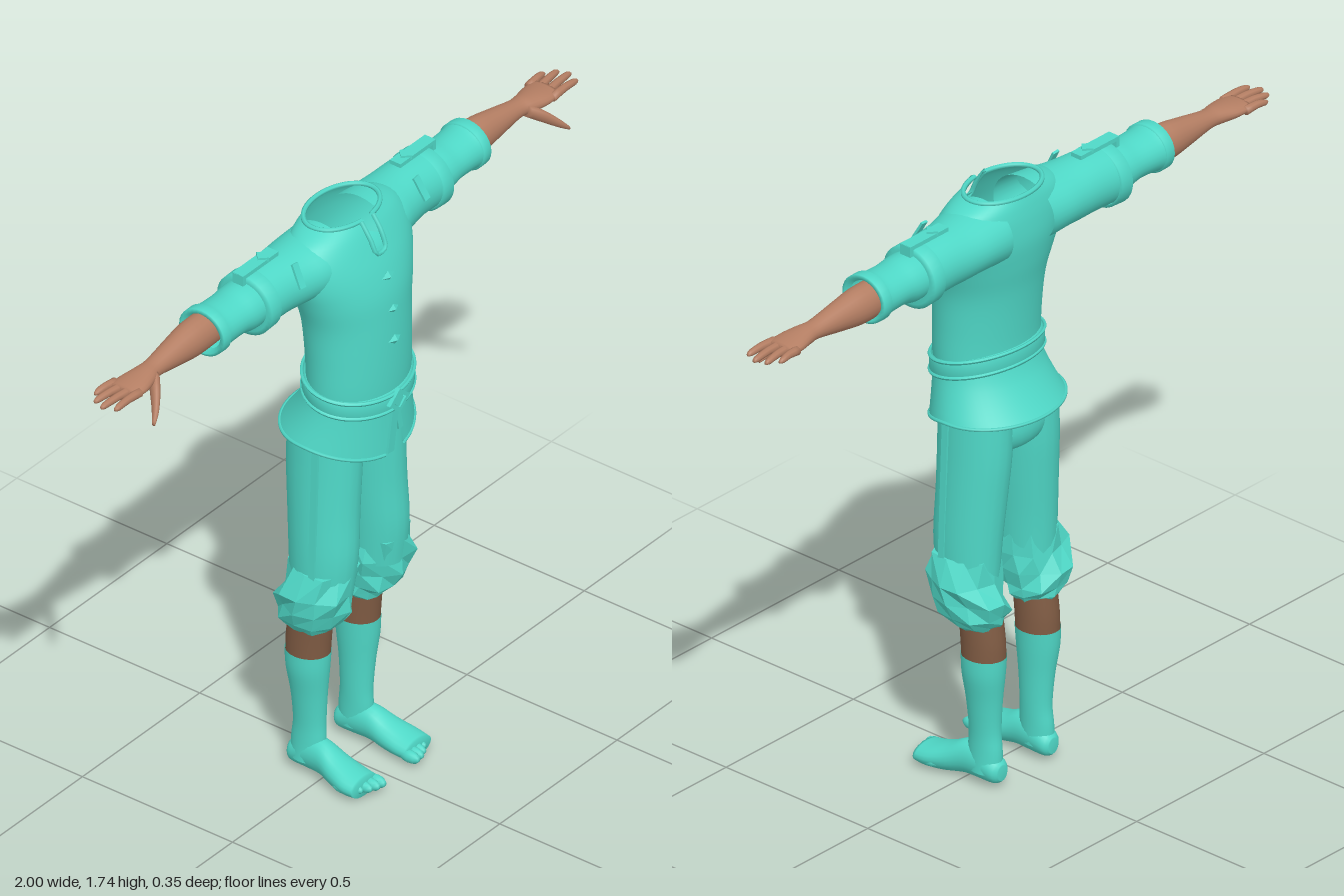
import * as THREE from 'three';

const mat = (name, color) => {
  const m = new THREE.MeshStandardMaterial({ color, side: THREE.DoubleSide });
  m.name = name;
  return m;
};

// Surface over a grid of points; u runs around, v runs along
function grid(fn, nu, nv, closed = true, skip = null) {
  const pos = [], index = [], w = closed ? nu : nu + 1;
  for (let j = 0; j <= nv; j++)
    for (let i = 0; i < w; i++) pos.push(...fn(i / nu, j / nv));
  for (let j = 0; j < nv; j++)
    for (let i = 0; i < nu; i++) {
      if (skip && skip(...fn((i + 0.5) / nu, (j + 0.5) / nv))) continue;
      const a = j * w + i, b = j * w + (i + 1) % w;
      index.push(a, a + w, b + w, a, b + w, b);
    }
  const g = new THREE.BufferGeometry();
  g.setAttribute('position', new THREE.Float32BufferAttribute(pos, 3));
  g.setIndex(index);
  g.computeVertexNormals();
  return g;
}

// Smooth interpolation through rows of numbers
function sample(rows, v) {
  const f = v * (rows.length - 1), k = Math.min(Math.floor(f), rows.length - 2), t = f - k;
  const at = (i) => rows[Math.max(0, Math.min(rows.length - 1, i))];
  return rows[0].map((_, c) => {
    const p0 = at(k - 1)[c], p1 = at(k)[c], p2 = at(k + 1)[c], p3 = at(k + 2)[c];
    return p1 + 0.5 * t * (p2 - p0 + t * (2 * p0 - 5 * p1 + 4 * p2 - p3 + t * (3 * (p1 - p2) + p3 - p0)));
  });
}

// Elliptical loft. Rows: [position on axis, centre a, centre b, radius a, radius b]
function loft(axis, rows, { seg = 24, steps = 4, cap = false, bump = null, skip = null } = {}) {
  const n = (rows.length - 1) * steps, total = cap ? n + 2 : n;
  const point = (u, v) => {
    let j = v * total, k = 1;
    if (cap) {
      if (j < 0.5 || j > total - 0.5) k = 0;
      j = Math.max(0, Math.min(n, j - 1));
    }
    const [t, a, b, ra, rb] = sample(rows, j / n);
    const th = u * Math.PI * 2;
    if (bump) k *= bump(th, j);
    const c = Math.cos(th) * k, s = Math.sin(th) * k;
    if (axis === 'y') return [a + ra * c, t, b + rb * s];
    if (axis === 'x') return [t, a + ra * s, b + rb * c];
    return [a + ra * s, b + rb * c, t];
  };
  return grid(point, seg, total, true, skip);
}

function faceted(geo) {
  const g = geo.toNonIndexed();
  g.computeVertexNormals();
  return g;
}

function mirrored(geo) {
  const g = geo.clone().scale(-1, 1, 1);
  const src = g.index ? Array.from(g.index.array) : [...Array(g.attributes.position.count).keys()];
  for (let i = 0; i < src.length; i += 3) [src[i + 1], src[i + 2]] = [src[i + 2], src[i + 1]];
  g.setIndex(src);
  return g;
}

const box = (w, h, d, x, y, z, rz = 0, rx = 0) =>
  new THREE.BoxGeometry(w, h, d).rotateZ(rz).rotateX(rx).translate(x, y, z);
const tube = (pts, r, closed = false) => new THREE.TubeGeometry(
  new THREE.CatmullRomCurve3(pts.map((p) => new THREE.Vector3(...p)), closed), closed ? 48 : 16, r, 6, closed);

export function createModel() {
  const model = new THREE.Group();
  model.name = 'clothedFigure';
  const cloth = mat('turquoiseCloth', 0x4fd8c7);
  const skin = mat('skin', 0xb47e63);
  const legSkin = mat('legSkin', 0x7f5b43);
  const add = (name, geo, m = cloth) => {
    const mesh = new THREE.Mesh(geo, m);
    mesh.name = name;
    model.add(mesh);
  };
  const pair = (name, geo, m) => {
    add('left' + name, geo, m);
    add('right' + name, mirrored(geo), m);
  };

  // Tunic body, with the neck slit left open
  add('tunicBody', loft('y', [
    [1.16, 0, 0.022, 0.163, 0.122], [1.25, 0, 0.03, 0.167, 0.12], [1.35, 0, 0.028, 0.168, 0.123],
    [1.45, 0, 0.021, 0.174, 0.127], [1.53, 0, 0.01, 0.196, 0.131], [1.6, 0, -0.004, 0.22, 0.126],
    [1.66, 0, -0.015, 0.225, 0.112], [1.705, 0, -0.022, 0.19, 0.097], [1.735, 0, -0.027, 0.125, 0.083],
  ], { seg: 64, steps: 5, skip: (x, y, z) => z > 0 && Math.abs(x) < 0.016 && y > 1.66 }));

  // Neck trim and slit edging
  const neck = [];
  for (let i = 0; i < 24; i++) {
    const a = Math.PI / 2 + 0.16 + (i / 23) * (Math.PI * 2 - 0.32);
    neck.push([0.125 * Math.cos(a), 1.735, -0.027 + 0.083 * Math.sin(a)]);
  }
  add('neckTrim', new THREE.TubeGeometry(
    new THREE.CatmullRomCurve3(neck.map((p) => new THREE.Vector3(...p))), 60, 0.007, 6));
  add('neckSlitTrim', tube([[-0.025, 1.735, 0.057], [-0.024, 1.69, 0.088], [-0.018, 1.65, 0.104],
    [0.018, 1.65, 0.104], [0.024, 1.69, 0.088], [0.025, 1.735, 0.057]], 0.007));

  // Toggles down the chest
  [[1.58, 0.127], [1.485, 0.143], [1.39, 0.149]].forEach(([y, z], i) =>
    add('toggle' + (i + 1), faceted(new THREE.OctahedronGeometry(1)).scale(0.026, 0.016, 0.012).translate(0, y, z)));

  // Flared skirt of the tunic, split at the front
  const skirt = (u, v) => {
    const gap = 0.2 * (1 - v), a = Math.PI / 2 + gap + u * (Math.PI * 2 - 2 * gap);
    const y0 = 1.092 - 0.05 * Math.max(0, Math.sin(a)) ** 1.5;
    const k = (1 - v) ** 1.3;
    return [(0.163 + 0.037 * k) * Math.cos(a), y0 + (1.22 - y0) * v,
      0.028 - 0.037 * k + (0.122 + 0.04 * k) * Math.sin(a)];
  };
  add('tunicSkirt', grid(skirt, 56, 6, false));
  const hem = Array.from({ length: 33 }, (_, i) => new THREE.Vector3(...skirt(i / 32, 0)));
  add('skirtHem', new THREE.TubeGeometry(new THREE.CatmullRomCurve3(hem), 64, 0.005, 5));

  // Tilted belt with raised edges
  const tilt = (g) => {
    const p = g.attributes.position;
    for (let i = 0; i < p.count; i++) p.setY(i, p.getY(i) - 0.2 * (p.getZ(i) - 0.03));
    g.computeVertexNormals();
    return g;
  };
  add('belt', tilt(loft('y', [[1.202, 0, 0.028, 0.16, 0.12], [1.204, 0, 0.028, 0.175, 0.132],
    [1.252, 0, 0.028, 0.174, 0.131], [1.256, 0, 0.028, 0.16, 0.12]], { seg: 48, steps: 1 })));
  for (const y of [1.206, 1.252])
    add('beltEdge', tilt(new THREE.TorusGeometry(1, 0.03, 6, 48).rotateX(Math.PI / 2)
      .scale(0.174, 0.2, 0.131).translate(0, y, 0.028)));

  // Diamond buckle and hanging belt ends
  const diamond = new THREE.Shape([[0.043, 0], [0, 0.037], [-0.043, 0], [0, -0.037]].map((p) => new THREE.Vector2(...p)));
  diamond.holes.push(new THREE.Path([[0.026, 0], [0, -0.022], [-0.026, 0], [0, 0.022]].map((p) => new THREE.Vector2(...p))));
  add('beltBuckle', new THREE.ExtrudeGeometry(diamond, { depth: 0.012, bevelEnabled: false }).translate(0, 1.203, 0.156));
  add('beltKnot', box(0.03, 0.03, 0.012, 0, 1.203, 0.158, Math.PI / 4));
  add('rightBeltEnd', box(0.026, 0.14, 0.007, -0.014, 1.115, 0.154, -0.12, 0.03));
  add('leftBeltEnd', box(0.018, 0.09, 0.007, 0.012, 1.145, 0.152, 0.2));

  // Sleeves: wide upper part, folded cuff, narrower lower part
  pair('UpperSleeve', loft('x', [[0.08, 1.632, -0.03, 0.092, 0.108], [0.16, 1.632, -0.034, 0.084, 0.104],
    [0.22, 1.63, -0.04, 0.083, 0.094], [0.29, 1.63, -0.045, 0.083, 0.086], [0.38, 1.626, -0.046, 0.083, 0.086]], { seg: 32 }));
  pair('SleeveCuff', loft('x', [[0.345, 1.624, -0.047, 0.08, 0.084], [0.347, 1.624, -0.047, 0.088, 0.092],
    [0.388, 1.622, -0.047, 0.089, 0.092], [0.392, 1.622, -0.047, 0.076, 0.08], [0.393, 1.625, -0.046, 0.05, 0.05]], { seg: 32, steps: 1 }));
  pair('LowerSleeve', loft('x', [[0.34, 1.63, -0.046, 0.064, 0.074], [0.41, 1.628, -0.046, 0.066, 0.074],
    [0.46, 1.63, -0.047, 0.058, 0.07], [0.52, 1.63, -0.048, 0.06, 0.071], [0.545, 1.63, -0.048, 0.066, 0.073]], { seg: 28 }));
  pair('SleeveEnd', loft('x', [[0.538, 1.63, -0.048, 0.062, 0.068], [0.54, 1.63, -0.048, 0.069, 0.076],
    [0.57, 1.63, -0.048, 0.069, 0.075], [0.574, 1.63, -0.048, 0.06, 0.066], [0.56, 1.63, -0.048, 0.05, 0.055]], { seg: 28, steps: 1 }));

  // Shoulder straps with small buckles
  pair('ShoulderStrap', box(0.15, 0.012, 0.036, 0.335, 1.722, -0.052));
  pair('StrapBuckle', box(0.03, 0.012, 0.03, 0.305, 1.728, -0.052).translate(-0.305, 0, 0.052).rotateY(Math.PI / 4).translate(0.305, 0, -0.052));
  pair('StrapEnd', box(0.012, 0.03, 0.036, 0.405, 1.712, -0.052));
  pair('StrapTab', box(0.022, 0.07, 0.007, 0.262, 1.68, 0.034, 0.1, -0.5));

  // Forearms, hands, fingers and thumbs
  pair('Forearm', loft('x', [[0.5, 1.63, -0.055, 0.05, 0.045], [0.6, 1.628, -0.056, 0.053, 0.046],
    [0.68, 1.626, -0.055, 0.042, 0.038], [0.77, 1.624, -0.053, 0.026, 0.029], [0.81, 1.622, -0.05, 0.025, 0.036],
    [0.86, 1.62, -0.05, 0.021, 0.047], [0.905, 1.62, -0.052, 0.014, 0.046]], { seg: 20, cap: true }), skin);
  [[-0.093, 0.958, -0.1], [-0.066, 0.988, -0.077], [-0.038, 1, -0.046], [-0.013, 0.985, -0.012]].forEach(([z, x1, z1], i) =>
    pair('Finger' + (i + 1), loft('x', [[0.88, 1.62, z, 0.013, 0.013], [(0.88 + x1) / 2, 1.624, (z + z1) / 2, 0.011, 0.011],
      [x1 - 0.012, 1.621, z1, 0.009, 0.009], [x1, 1.619, z1, 0.004, 0.004]], { seg: 8, steps: 2, cap: true }), skin));
  pair('Thumb', loft('x', [[0.79, 1.618, -0.035, 0.02, 0.02], [0.825, 1.595, -0.004, 0.021, 0.018],
    [0.86, 1.565, 0.024, 0.014, 0.012], [0.885, 1.543, 0.038, 0.006, 0.006]], { seg: 10, cap: true }), skin);

  // Trousers: hips, legs and faceted gathers at the knee
  add('trouserHips', loft('y', [[0.975, 0, -0.02, 0.09, 0.07], [1.0, 0, -0.018, 0.14, 0.1],
    [1.06, 0, -0.012, 0.172, 0.115], [1.18, 0, 0.015, 0.16, 0.115]], { seg: 32, cap: true }));
  pair('TrouserLeg', loft('y', [[0.6, 0.112, -0.005, 0.075, 0.09], [0.72, 0.108, -0.002, 0.08, 0.1],
    [0.85, 0.1, -0.008, 0.083, 0.104], [0.97, 0.093, -0.012, 0.084, 0.11], [1.1, 0.087, -0.012, 0.084, 0.113]], { seg: 20 }));
  pair('SideSeam', box(0.008, 0.4, 0.02, 0.18, 0.87, 0.02, 0.04));
  const puff = (th, j) => 1 + 0.09 * Math.sin(4 * th + j * 2.4) + 0.04 * Math.sin(th * 3 + j * 4);
  pair('KneeGather', faceted(loft('y', [[0.465, 0.106, -0.04, 0.05, 0.055], [0.49, 0.113, -0.04, 0.072, 0.075],
    [0.515, 0.12, -0.03, 0.086, 0.098], [0.56, 0.125, -0.022, 0.09, 0.108], [0.61, 0.127, -0.006, 0.1, 0.096],
    [0.68, 0.113, 0, 0.08, 0.094]], { seg: 11, steps: 1, bump: puff, cap: true })));

  // Bare lower knees
  pair('Knee', loft('y', [[0.375, 0.106, -0.056, 0.055, 0.063], [0.43, 0.106, -0.053, 0.055, 0.064],
    [0.5, 0.106, -0.045, 0.055, 0.062]], { seg: 24 }), legSkin);

  // Stockings and feet
  pair('Stocking', loft('y', [[0.04, 0.103, -0.06, 0.038, 0.05], [0.1, 0.101, -0.057, 0.036, 0.052],
    [0.16, 0.1, -0.055, 0.037, 0.048], [0.25, 0.103, -0.055, 0.044, 0.053], [0.33, 0.107, -0.056, 0.054, 0.062],
    [0.385, 0.106, -0.056, 0.057, 0.065]], { seg: 24 }));
  pair('Foot', loft('z', [[-0.117, 0.1, 0.045, 0.018, 0.022], [-0.1, 0.101, 0.048, 0.034, 0.036],
    [-0.05, 0.102, 0.06, 0.038, 0.05], [0, 0.105, 0.06, 0.04, 0.05], [0.05, 0.11, 0.044, 0.049, 0.042],
    [0.1, 0.114, 0.034, 0.056, 0.034], [0.14, 0.114, 0.031, 0.054, 0.028]], { seg: 20, cap: true }));
  for (let i = 0; i < 5; i++)
    pair('Toe' + (i + 1), new THREE.SphereGeometry(1, 10, 8).scale(0.016 - i * 0.0012, 0.018 - i * 0.001, 0.033)
      .translate(0.072 + i * 0.021, 0.028, 0.144 - i * i * 0.003));

  return model;
}
